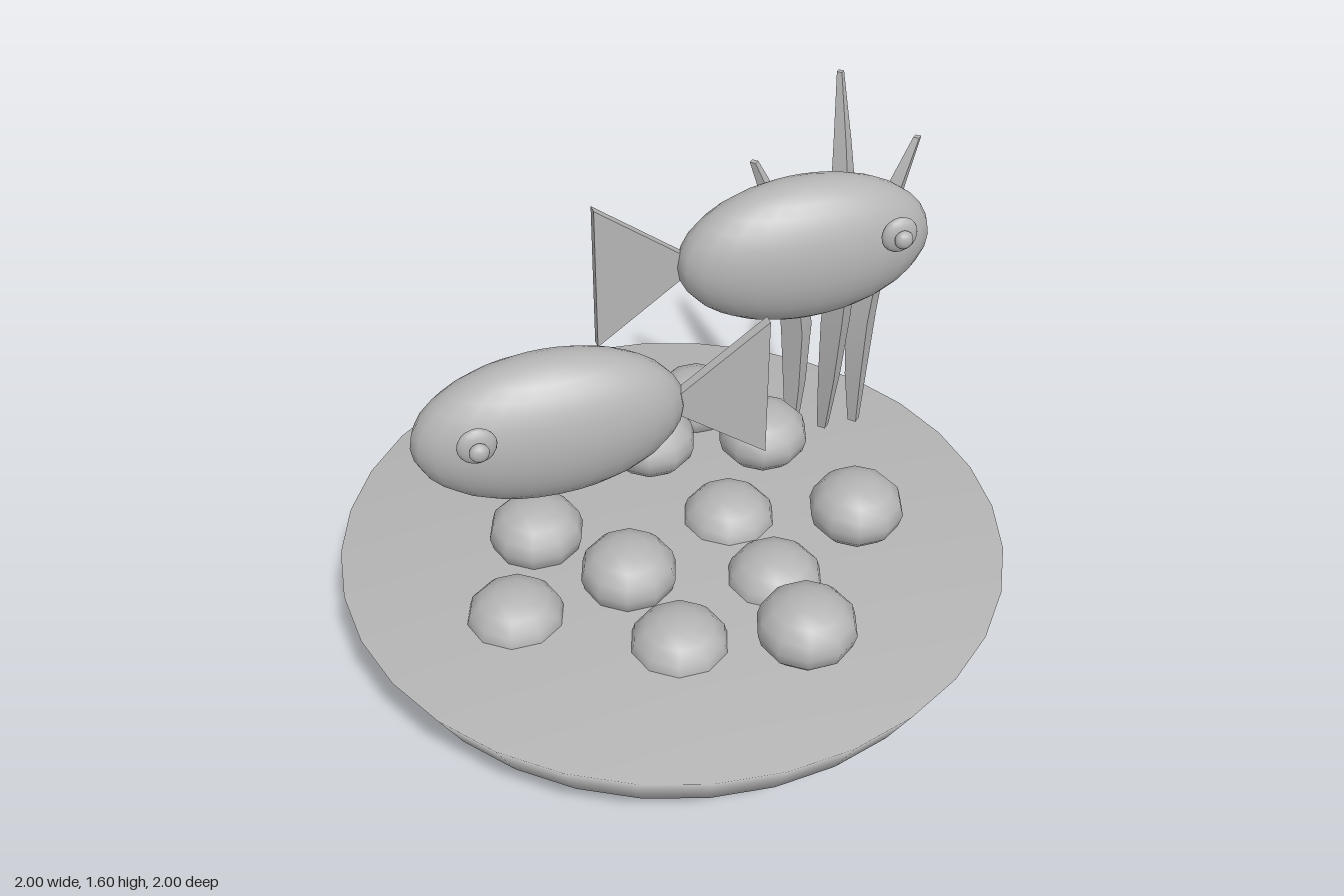
import * as THREE from 'three';

const grey = new THREE.MeshStandardMaterial({ color: 0xb4b4b4 });
grey.name = 'grey';

function add(parent, name, geometry, x = 0, y = 0, z = 0) {
  const mesh = new THREE.Mesh(geometry, grey);
  mesh.name = name;
  mesh.position.set(x, y, z);
  parent.add(mesh);
  return mesh;
}

function ellipsoid(rx, ry, rz, wide, high) {
  return new THREE.SphereGeometry(1, wide, high).scale(rx, ry, rz);
}

// Shallow dish with a flat top
function makeDish() {
  const profile = [[0, 0], [0.64, 0], [0.92, 0.19], [1, 0.34], [0, 0.34]];
  return new THREE.LatheGeometry(profile.map(([r, y]) => new THREE.Vector2(r, y)), 32);
}

// Fish: dir is the way it faces along x
function makeFish(name, x, y, z, dir) {
  const fish = new THREE.Group();
  fish.name = name;
  fish.position.set(x, y, z);
  add(fish, 'body', ellipsoid(0.373, 0.217, 0.147, 24, 16));
  add(fish, 'eye', ellipsoid(0.053, 0.053, 0.022, 16, 10), 0.22 * dir, 0.08, 0.142);
  add(fish, 'pupil', ellipsoid(0.027, 0.027, 0.019, 12, 8), 0.22 * dir, 0.08, 0.172);
  const outline = new THREE.Shape([
    new THREE.Vector2(-0.305 * dir, 0),
    new THREE.Vector2(-0.605 * dir, 0.217),
    new THREE.Vector2(-0.605 * dir, -0.217),
  ]);
  const tail = new THREE.ExtrudeGeometry(outline, { depth: 0.03, bevelEnabled: false });
  add(fish, 'tail', tail, 0, 0, -0.015 - 0.015 * dir);
  return fish;
}

// Blade of grass: four-sided sections [x, y, z, radius], creased along its ridges
function makeBlade(sections) {
  const corner = ([x, y, z, r], k) => [
    x + r * Math.round(Math.cos(k * Math.PI / 2)), y,
    z + r * Math.round(Math.sin(k * Math.PI / 2)),
  ];
  const positions = [], index = [];
  for (let k = 0; k < 4; k++) {
    const start = positions.length / 3;
    for (const s of sections) positions.push(...corner(s, k), ...corner(s, k + 1));
    for (let i = 0; i < sections.length - 1; i++) {
      const a = start + i * 2;
      index.push(a, a + 2, a + 1, a + 1, a + 2, a + 3);
    }
  }
  // Closed ends
  for (const [s, top] of [[sections[0], false], [sections.at(-1), true]]) {
    const a = positions.length / 3;
    for (let k = 0; k < 4; k++) positions.push(...corner(s, k));
    if (top) index.push(a, a + 2, a + 1, a, a + 3, a + 2);
    else index.push(a, a + 1, a + 2, a, a + 2, a + 3);
  }
  const geometry = new THREE.BufferGeometry();
  geometry.setAttribute('position', new THREE.Float32BufferAttribute(positions, 3));
  geometry.setIndex(index);
  geometry.computeVertexNormals();
  return geometry;
}

export function createModel() {
  const model = new THREE.Group();
  model.name = 'fishDish';
  add(model, 'dish', makeDish());

  // Pebbles, some half buried
  const pebbles = new THREE.Group();
  pebbles.name = 'pebbles';
  model.add(pebbles);
  const spots = [
    [-0.25, 0.38, -0.46], [0.26, 0.38, -0.56], [0.03, 0.44, -0.325], [0.38, 0.44, -0.25],
    [-0.405, 0.38, -0.075], [-0.19, 0.38, 0.18], [0.185, 0.33, -0.01], [0.525, 0.44, 0.175],
    [0.225, 0.33, 0.29], [-0.125, 0.33, 0.465], [0.2, 0.44, 0.605], [-0.54, 0.33, 0.22],
  ];
  const pebble = ellipsoid(0.144, 0.105, 0.144, 10, 8);
  spots.forEach((p, i) => add(pebbles, `pebble${i + 1}`, pebble, ...p));

  // Two fish swimming apart
  model.add(makeFish('rightFish', -0.41, 1.003, 0.22, -1));
  model.add(makeFish('leftFish', 0.402, 1.245, -0.045, 1));

  // Clump of grass: middle blade leans back, side blades lean outwards
  const grass = new THREE.Group();
  grass.name = 'grass';
  grass.position.x = 0.62;
  model.add(grass);
  add(grass, 'middleBlade', makeBlade([
    [0, 0.36, -0.325, 0.02], [0, 0.58, -0.30, 0.038], [0, 0.8, -0.282, 0.049],
    [0, 1.0, -0.264, 0.05], [0, 1.2, -0.283, 0.043], [0, 1.4, -0.322, 0.028],
    [0, 1.6, -0.37, 0.011],
  ]));
  for (const side of [-1, 1]) {
    add(grass, side > 0 ? 'leftBlade' : 'rightBlade', makeBlade([
      [0.11 * side, 0.36, -0.328, 0.02], [0.106 * side, 0.55, -0.33, 0.038],
      [0.109 * side, 0.77, -0.332, 0.051], [0.137 * side, 1.0, -0.335, 0.048],
      [0.192 * side, 1.2, -0.345, 0.032], [0.258 * side, 1.357, -0.36, 0.013],
    ]));
  }
  return model;
}
